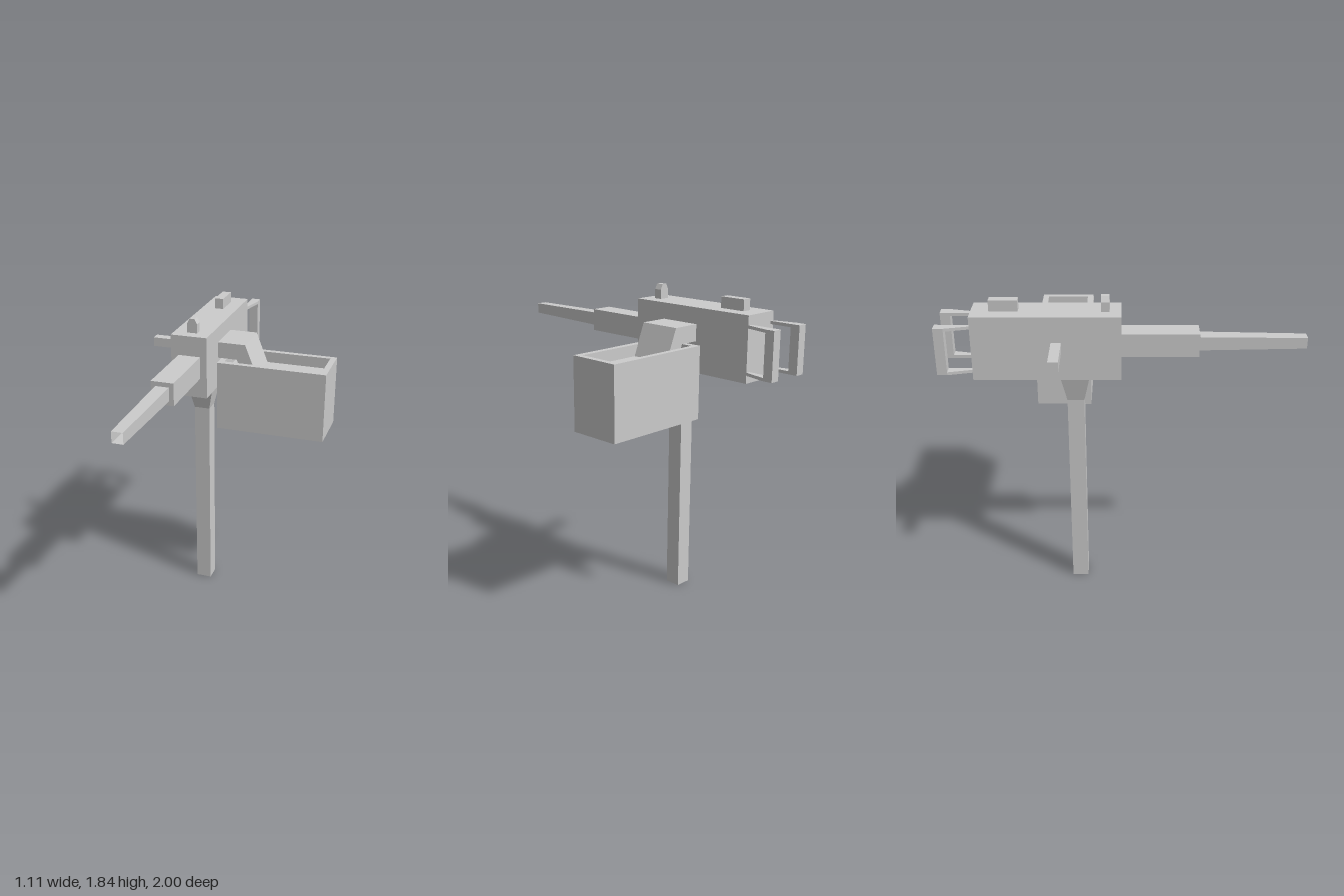
import * as THREE from 'three';

const grey = new THREE.MeshStandardMaterial({ color: 0xcccccc, flatShading: true });
const greyOpen = new THREE.MeshStandardMaterial({ color: 0xcccccc, flatShading: true, side: THREE.DoubleSide });

const AXIS_X = -0.21; // centre line of the gun and the post
const AXIS_Y = 1.57;  // height of the barrel axis

function add(parent, name, geometry, material = grey) {
  const mesh = new THREE.Mesh(geometry, material);
  mesh.name = name;
  parent.add(mesh);
  return mesh;
}

// Box given by its limits on each axis
function box(x0, x1, y0, y1, z0, z1) {
  return new THREE.BoxGeometry(x1 - x0, y1 - y0, z1 - z0)
    .translate((x0 + x1) / 2, (y0 + y1) / 2, (z0 + z1) / 2);
}

// Square tube with open ends, standing on y = 0; sizes are half widths
function squareTube(bottom, top, height) {
  return new THREE.CylinderGeometry(top * Math.SQRT2, bottom * Math.SQRT2, height, 4, 1, true)
    .rotateY(Math.PI / 4).translate(0, height / 2, 0);
}

// Front-view outline extruded from z0 to z1
function prism(points, z0, z1) {
  const shape = new THREE.Shape(points.map(([x, y]) => new THREE.Vector2(x, y)));
  return new THREE.ExtrudeGeometry(shape, { depth: z1 - z0, bevelEnabled: false }).translate(0, 0, z0);
}

// Rear hand grip on the -x side: upright bar with two arms that narrow towards the receiver
function createGrip() {
  const grip = new THREE.Group();
  add(grip, 'gripBar', box(-0.35, -0.295, 1.43, 1.7, -1, -0.945));
  for (const [name, y0, y1] of [['upperArm', 1.683, 1.7], ['lowerArm', 1.43, 1.447]]) {
    const arm = box(-0.35, -0.295, y0, y1, -0.945, -0.81);
    const p = arm.attributes.position;
    for (let i = 0; i < p.count; i++) {
      if (p.getZ(i) > -0.9 && p.getX(i) < -0.32) p.setX(i, -0.318);
    }
    arm.computeVertexNormals();
    add(grip, name, arm);
  }
  return grip;
}

export function createModel() {
  const model = new THREE.Group();

  // Post with a flared head
  add(model, 'post', squareTube(0.047, 0.047, 1.23).translate(AXIS_X, 0, -0.262), greyOpen);
  add(model, 'postHead', squareTube(0.047, 0.081, 0.16).translate(AXIS_X, 1.23, -0.262), greyOpen);

  // Receiver, barrel sleeve and tapered hollow barrel
  add(model, 'receiver', box(-0.32, -0.105, 1.387, 1.752, -0.813, -0.007));
  add(model, 'barrelSleeve', box(AXIS_X - 0.065, AXIS_X + 0.065, AXIS_Y - 0.065, AXIS_Y + 0.065, -0.01, 0.415));
  add(model, 'barrel', squareTube(0.039, 0.031, 0.59).rotateX(Math.PI / 2)
    .translate(AXIS_X, AXIS_Y, 0.41), greyOpen);

  // Sights
  add(model, 'frontSight', prism([
    [-0.243, 1.75], [-0.183, 1.75], [-0.183, 1.805], [-0.198, 1.835], [-0.228, 1.835], [-0.243, 1.805],
  ], -0.115, -0.07));
  add(model, 'rearSight', box(-0.24, -0.187, 1.75, 1.815, -0.715, -0.56));

  // Side handle
  add(model, 'sideHandle', box(-0.56, -0.315, 1.55, 1.605, -0.385, -0.33));

  // Ammunition box: solid body with a raised rim around a shallow recess
  const ammoBox = new THREE.Group();
  ammoBox.name = 'ammunitionBox';
  add(ammoBox, 'boxBody', box(-0.102, 0.553, 1.125, 1.48, -0.49, -0.182));
  const rimShape = new THREE.Shape([[-0.102, 0.182], [0.553, 0.182], [0.553, 0.49], [-0.102, 0.49]]
    .map(([x, y]) => new THREE.Vector2(x, y)));
  rimShape.holes.push(new THREE.Path([[-0.066, 0.217], [-0.066, 0.457], [0.518, 0.457], [0.518, 0.217]]
    .map(([x, y]) => new THREE.Vector2(x, y))));
  const rim = new THREE.ExtrudeGeometry(rimShape, { depth: 0.065, bevelEnabled: false });
  add(ammoBox, 'boxRim', rim.rotateX(-Math.PI / 2).translate(0, 1.48, 0));
  model.add(ammoBox);

  // Feed chute bending down from the receiver into the box
  add(model, 'feedChute', prism([
    [-0.11, 1.565], [0.01, 1.565], [0.042, 1.48], [0.132, 1.48], [0.06, 1.66], [-0.11, 1.66],
  ], -0.457, -0.215));

  // Pair of rear grips, mirrored about the gun's centre line
  const rightGrip = createGrip();
  rightGrip.name = 'rightGrip';
  const leftGrip = createGrip();
  leftGrip.name = 'leftGrip';
  leftGrip.scale.x = -1;
  leftGrip.position.x = 2 * AXIS_X - 0.005;
  model.add(rightGrip, leftGrip);

  return model;
}
